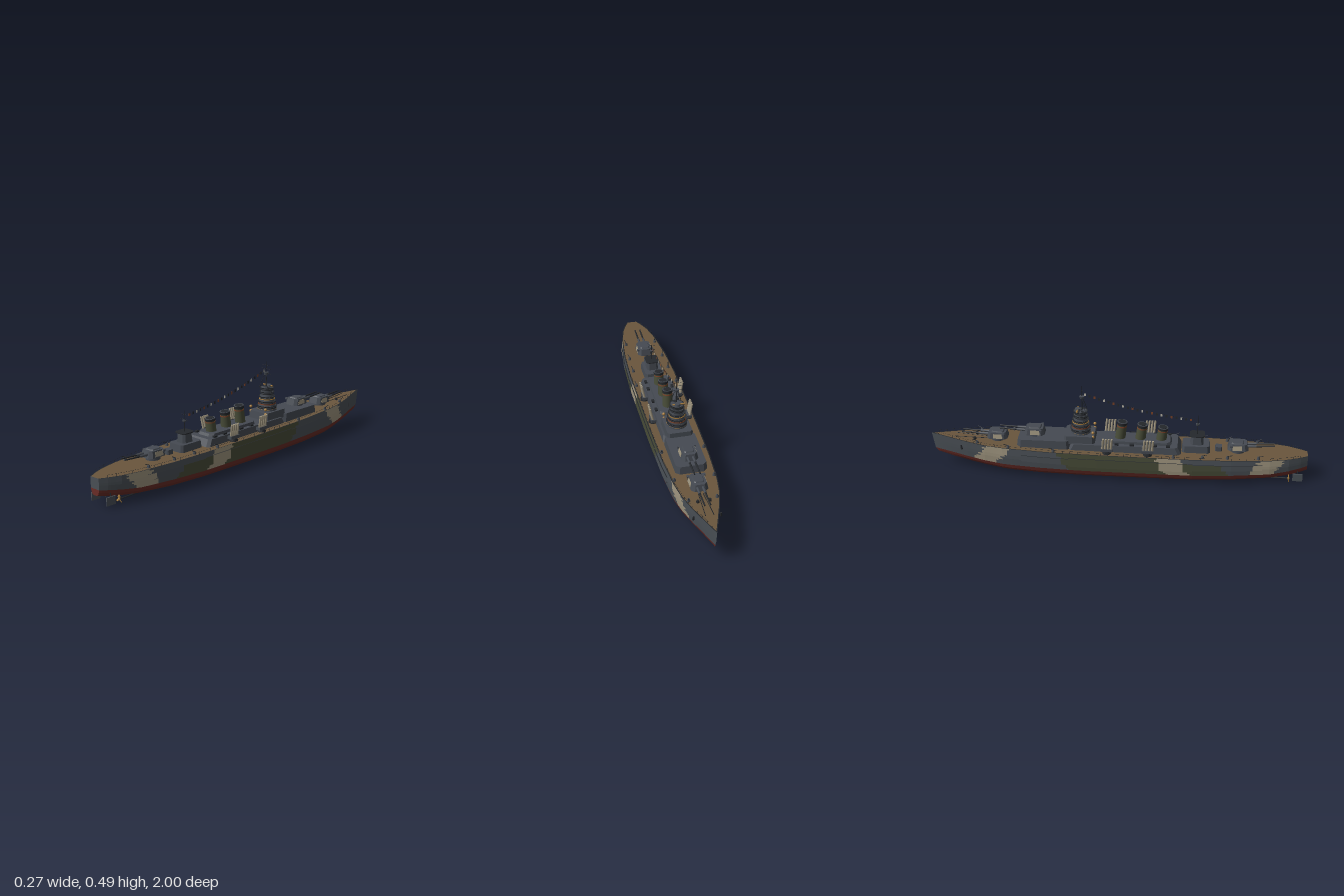
import * as THREE from 'three';

const mat = (name, color, side = THREE.FrontSide) => new THREE.MeshStandardMaterial({ name, color, side });

// linear lookup in a list of [key, value]
function look(table, k) {
  for (let i = 1; i < table.length; i++) {
    const [a, p] = table[i - 1], [b, q] = table[i];
    if (k <= b) return p + (q - p) * Math.max(0, (k - a) / (b - a));
  }
  return table[table.length - 1][1];
}

// hull lines by station (bow at -z)
const BEAM = [[-1, 0.001], [-.9, .036], [-.8, .07], [-.7, .097], [-.6, .112], [-.4, .125], [-.1, .13], [.4, .13], [.6, .122], [.8, .1], [.9, .077], [.96, .052], [1, .03]];
const KEEL = [[-1, .068], [-.9, .045], [-.8, .032], [-.6, .012], [-.4, .003], [-.2, 0], [.2, 0], [.4, .003], [.6, .009], [.8, .024], [.9, .035], [1, .055]];
const WATER = [[-1, .088], [-.6, .065], [-.2, .055], [.4, .055], [.8, .066], [1, .088]];
const DECK = [[-1, .178], [-.7, .164], [-.3, .154], [.2, .15], [1, .145]];
// width and height across the section: v 0 keel, 1 waterline, 2 deck
const WIDTH = [[0, 0], [.04, .45], [.2, .72], [.6, .91], [1, .97], [1.4, 1], [1.6, 1], [2, .98]];
const ROWS = [0, .04, .2, .6, 1, 1.1, 1.2, 1.3, 1.4, 1.5, 1.6, 1.7, 1.8, 1.9, 2];
const deckY = z => look(DECK, z);

function hullPoint(z, v, out = 0) {
  const k = Math.max(0, (-z - .55) / .45);
  const wl = look(WATER, z), kl = look(KEEL, z);
  const y = v < 1 ? kl + (wl - kl) * v : wl + (deckY(z) - wl) * (v - 1);
  const x = look(BEAM, z) * look(WIDTH, v) * (1 - .4 * k * (1 - v / 2)) + out;
  return [x, y, z + .03 * k * k * (1 - v / 2)];
}

export function createModel() {
  const g = new THREE.Group();
  g.name = 'warship';
  const M = {
    grey: mat('hull grey', 0x4a5056, THREE.DoubleSide), steel: mat('superstructure grey', 0x454a52),
    red: mat('antifouling red', 0x6a2d27), deck: mat('deck wood', 0x6a563d),
    beige: mat('camouflage beige', 0x9f957f, THREE.DoubleSide), olive: mat('camouflage olive', 0x484c38, THREE.DoubleSide),
    dark: mat('dark metal', 0x25282c, THREE.DoubleSide), brass: mat('brass', 0xa67b3c),
    rust: mat('band red', 0x7a4128), pale: mat('flag white', 0xbdb8aa, THREE.DoubleSide),
  };
  const add = (name, geo, m, parent = g) => {
    const mesh = new THREE.Mesh(geo, m);
    mesh.name = name;
    parent.add(mesh);
    return mesh;
  };
  const box = (name, w, h, d, x, y, z, m, p) => add(name, new THREE.BoxGeometry(w, h, d).translate(x, y, z), m, p);
  const drum = (name, rt, rb, y0, y1, z, m, n = 16, x = 0, p = g) =>
    add(name, new THREE.CylinderGeometry(rt, rb, y1 - y0, n).translate(x, (y0 + y1) / 2, z), m, p);
  const rod = (name, a, b, r0, r1, m, p, n = 6) => {
    const A = new THREE.Vector3(...a), B = new THREE.Vector3(...b), D = B.clone().sub(A);
    const mesh = add(name, new THREE.CylinderGeometry(r1, r0, D.length(), n), m, p);
    mesh.position.copy(A).add(B).multiplyScalar(.5);
    mesh.quaternion.setFromUnitVectors(new THREE.Vector3(0, 1, 0), D.normalize());
    return mesh;
  };
  // chamfered house with sloping walls
  const house = (name, hx, z0, z1, y0, y1, m, c = .015, taper = .94, p = g) => {
    const hz = (z1 - z0) / 2;
    const pts = [[hx, hz - c], [hx - c, hz], [c - hx, hz], [-hx, hz - c], [-hx, c - hz], [c - hx, -hz], [hx - c, -hz], [hx, c - hz]];
    const geo = new THREE.ExtrudeGeometry(new THREE.Shape(pts.map(q => new THREE.Vector2(...q))), { depth: y1 - y0, bevelEnabled: false });
    const a = geo.attributes.position;
    for (let i = 0; i < a.count; i++) if (a.getZ(i) > 1e-4) a.setXY(i, a.getX(i) * taper, a.getY(i) * taper);
    geo.rotateX(-Math.PI / 2).translate(0, y0, (z0 + z1) / 2);
    geo.computeVertexNormals();
    return add(name, geo, m, p);
  };

  // hull plating, collected as flat quads per colour
  const faces = {};
  const quad = (key, a, b, c, d) => (faces[key] ||= []).push(...a, ...b, ...c, ...a, ...c, ...d);
  const both = (key, a, b, c, d) => {
    const f = p => [-p[0], p[1], p[2]];
    quad(key, a, b, c, d);
    quad(key, f(d), f(c), f(b), f(a));
  };
  const paint = (z, v) => {
    if (v < 1) return 'red';
    const h = v - 1, jag = Math.round(h * 10) % 2 ? .008 : -.008;
    for (const [lo, hi] of [[.765, .81], [.335, .265], [-.7, -.625]])
      if (Math.abs(z - lo - (hi - lo) * h + jag) < .064) return 'beige';
    const s = z + .08 * h + jag;
    if ((s > -.24 && s < .36) || (s > .36 && s < .6 && h < .7)) return 'olive';
    return 'grey';
  };
  const N = 160;
  for (let i = 0; i < N; i++) {
    const z0 = -1 + 2 * i / N, z1 = z0 + 2 / N, zm = (z0 + z1) / 2;
    for (let j = 1; j < ROWS.length; j++) {
      const p = ROWS[j - 1], q = ROWS[j];
      both(paint(zm, (p + q) / 2), hullPoint(z0, p), hullPoint(z0, q), hullPoint(z1, q), hullPoint(z1, p));
    }
    // deck and its dark edge
    const a = hullPoint(z0, 2), b = hullPoint(z1, 2);
    const inA = [Math.max(0, a[0] - .005), a[1], a[2]], inB = [Math.max(0, b[0] - .005), b[1], b[2]];
    both('dark', a, inA, inB, b);
    both('deck', inA, [0, a[1], a[2]], [0, b[1], b[2]], inB);
    // armour belt with ledges
    if (zm > -.5 && zm < .76) {
      const e = .005, [l, t] = zm > -.25 && zm < .4 ? [1.25, 1.75] : [1.35, 1.7];
      both(paint(zm, 1.5), hullPoint(z0, l, e), hullPoint(z0, t, e), hullPoint(z1, t, e), hullPoint(z1, l, e));
      both('dark', hullPoint(z0, t, e), hullPoint(z0, t, -.002), hullPoint(z1, t, -.002), hullPoint(z1, t, e));
      both('dark', hullPoint(z0, l, -.002), hullPoint(z0, l, e), hullPoint(z1, l, e), hullPoint(z1, l, -.002));
    }
  }
  // transom
  for (let j = 1; j < ROWS.length; j++) {
    const a = hullPoint(1, ROWS[j - 1]), b = hullPoint(1, ROWS[j]), f = p => [-p[0], p[1], p[2]];
    quad(ROWS[j] <= 1 ? 'red' : 'grey', f(a), a, b, f(b));
  }
  for (const key in faces) {
    const geo = new THREE.BufferGeometry();
    geo.setAttribute('position', new THREE.Float32BufferAttribute(faces[key], 3));
    geo.computeVertexNormals();
    add('hull ' + key, geo, M[key]);
  }

  // superstructure
  house('forward deckhouse', .082, -.53, -.24, .145, .2, M.steel, .02, .95);
  house('midships deckhouse', .084, -.26, .34, .145, .186, M.steel, .015, .93);
  house('funnel house', .055, -.06, .29, .18, .2, M.steel, .02);
  house('bridge base', .068, -.28, -.115, .18, .225, M.steel, .012, .95);
  house('aft deckhouse', .052, .34, .49, .14, .186, M.steel, .012, .93);
  house('aft control tower', .032, .385, .455, .18, .235, M.steel, .012, .85);
  house('aft platform', .036, .38, .46, .233, .238, M.dark, .012, 1);
  house('deck hatch', .02, .515, .552, .14, .172, M.steel, .004);

  // bridge tower: stacked drums with platforms and brass rings
  const tz = -.195;
  for (const [y0, y1, r0, r1] of [[.22, .25, .054, .05], [.25, .275, .047, .044], [.275, .3, .042, .039], [.3, .325, .037, .034], [.325, .348, .031, .033]]) {
    drum('bridge tier', r1, r0, y0, y1, tz, M.steel);
    drum('bridge platform', r1 + .006, r1 + .003, y1 - .004, y1, tz, M.dark);
    drum('window band', r1 + .002, r1 + .002, y1 - .013, y1 - .008, tz, M.dark);
  }
  drum('bridge ring', .0515, .0525, .232, .236, tz, M.brass);
  drum('bridge ring', .0435, .044, .285, .289, tz, M.brass);
  drum('bridge band', .0475, .048, .258, .263, tz, M.rust);
  drum('rangefinder', .014, .016, .348, .36, tz - .015, M.steel, 10);
  rod('rangefinder arm', [-.038, .355, tz - .015], [.026, .355, tz - .015], .004, .004, M.brass);

  // masts
  const mast = (z, y0, y1, arms) => {
    rod('mast', [0, y0, z], [0, y1, z], .003, .0012, M.dark);
    for (const [y, w] of arms) rod('yardarm', [-w, y, z], [w, y, z], .001, .001, M.dark);
  };
  mast(tz + .008, .345, .49, [[.425, .036], [.45, .034], [.47, .026]]);
  drum('crows nest', .014, .01, .418, .432, tz + .008, M.steel, 10);
  for (const s of [-1, 1]) rod('mast stay', [s * .028, .348, tz + .03], [0, .44, tz + .008], .0015, .001, M.dark);
  mast(.42, .235, .345, [[.3, .026], [.325, .02]]);
  drum('aft lookout', .011, .008, .287, .297, .42, M.steel, 10);

  // signal line with flags
  const line = new THREE.QuadraticBezierCurve3(new THREE.Vector3(0, .457, tz), new THREE.Vector3(0, .35, .1), new THREE.Vector3(0, .322, .41));
  add('signal line', new THREE.TubeGeometry(line, 24, .0006, 4), M.dark);
  for (let i = 1; i < 24; i++) {
    const p = line.getPoint(i / 24);
    box('flag', .001, .014, .01, p.x, p.y - .007, p.z, [M.dark, M.pale, M.dark, M.rust][i % 4]);
  }

  // funnels: raked oval tubes with bands and caps
  [[.018, .292], [.125, .281], [.235, .268]].forEach(([z, top]) => {
    const f = new THREE.Group();
    f.name = 'funnel';
    const h = top - .185;
    drum('funnel casing', .025, .028, 0, h, 0, M.olive, 20, 0, f);
    drum('funnel band', .0262, .0265, h * .76, h * .82, 0, M.rust, 20, 0, f);
    drum('funnel cap', .0275, .0265, h * .86, h, 0, M.dark, 20, 0, f);
    drum('funnel rim', .0265, .0265, h, h + .002, 0, M.steel, 20, 0, f);
    drum('funnel mouth', .021, .021, h, h + .003, 0, M.dark, 20, 0, f);
    drum('funnel foot', .03, .032, 0, .012, 0, M.steel, 20, 0, f);
    f.rotation.x = .12;
    f.position.set(0, .185, z - .005);
    g.add(f);
  });

  // twin gun turrets
  const turret = (z, y, dir) => {
    const t = new THREE.Group();
    t.name = 'turret';
    drum('barbette', .036, .038, -.03, .008, 0, M.steel, 20, 0, t);
    house('gun house', .043, -.055, .055, .006, .04, M.steel, .016, .84, t);
    house('roof plate', .026, -.03, .035, .04, .045, M.steel, .008, .9, t);
    for (const s of [-1, 1]) {
      const panel = box('camouflage panel', .002, .024, .05, s * .0412, .022, .005, M.beige, t);
      panel.geometry.translate(-s * .0412, -.022, 0).rotateZ(s * .2).translate(s * .0405, .022, 0);
      rod('gun sleeve', [s * .014, .024, -.045], [s * .014, .026, -.095], .0075, .006, M.steel, t, 10);
      rod('gun barrel', [s * .014, .026, -.095], [s * .014, .031, -.19], .0048, .0035, M.dark, t, 10);
      box('rangefinder hood', .012, .01, .014, s * .04, .033, .035, M.steel, t);
    }
    t.position.set(0, y, z);
    t.rotation.y = dir > 0 ? Math.PI : 0;
    g.add(t);
  };
  turret(-.64, .17, -1);
  turret(-.44, .202, -1);
  turret(.635, .158, 1);

  for (const s of [-1, 1]) {
    // raised side batteries
    for (const z of [-.05, .165]) {
      drum('battery mount', .02, .024, .148, .166, z, M.dark, 12, s * .095);
      box('battery cradle', .026, .016, .062, s * .096, .172, z, M.steel);
      for (let i = 0; i < 4; i++) {
        const bz = z + (i - 1.5) * .015;
        rod('battery barrel', [s * .097, .165, bz], [s * .112, .243, bz + .006], .0065, .0055, M.beige, g, 8);
      }
    }
    // light guns along the deck
    for (const [x, z] of [[.07, -.74], [.1, -.57], [.11, -.33], [.112, .3], [.1, .45], [.095, .58], [.085, .74]]) {
      const y = deckY(z);
      drum('light gun pedestal', .006, .009, y, y + .014, z, M.steel, 8, s * x);
      rod('light gun barrel', [s * x, y + .014, z], [s * (x + .006), y + .024, z + Math.sign(z) * .024], .002, .0015, M.dark);
    }
    // searchlights on the bridge and lockers on the deckhouse
    for (const y of [.215, .24]) add('searchlight', new THREE.SphereGeometry(.008, 10, 8).translate(s * .053, y + .005, tz + .07), M.brass);
    for (const z of [0, .08, .2, .27]) box('locker', .014, .01, .022, s * .066, .19, z, M.dark);
    // bow chains, capstans and anchors
    rod('anchor chain', [s * .012, deckY(-.7) + .002, -.7], [s * .02, deckY(-.87) + .002, -.87], .002, .002, M.dark);
    drum('capstan', .007, .008, deckY(-.76), deckY(-.76) + .012, -.76, M.dark, 10, s * .03);
    rod('anchor', [s * .066, .145, -.83], [s * .068, .122, -.825], .004, .006, M.dark);
    // railings
    let prev = null;
    for (let z = -.96; z < .985; z += .04) {
      const [x, y] = hullPoint(z, 2), p = [s * (x - .003), y + .013, z];
      rod('rail post', [p[0], y, z], p, .0007, .0007, M.dark, g, 4);
      if (prev) rod('rail wire', prev, p, .0005, .0005, M.dark, g, 4);
      prev = p;
    }
    // rudder, shaft and screw
    box('rudder', .006, .042, .052, s * .055, .03, .952, M.grey);
    rod('rudder stock', [s * .055, .04, .95], [s * .045, .085, .95], .003, .003, M.dark);
    rod('propeller shaft', [s * .058, .03, .72], [s * .058, .026, .905], .004, .004, M.dark);
    const screw = new THREE.Group();
    screw.name = 'propeller';
    add('hub', new THREE.SphereGeometry(.006, 10, 8), M.brass, screw);
    for (let i = 0; i < 3; i++) {
      const blade = add('blade', new THREE.SphereGeometry(1, 10, 6).scale(.007, .011, .0018).rotateY(.5).translate(0, .012, 0), M.brass, screw);
      blade.rotation.z = i * Math.PI * 2 / 3;
    }
    screw.position.set(s * .058, .026, .905);
    g.add(screw);
  }
  return g;
}
